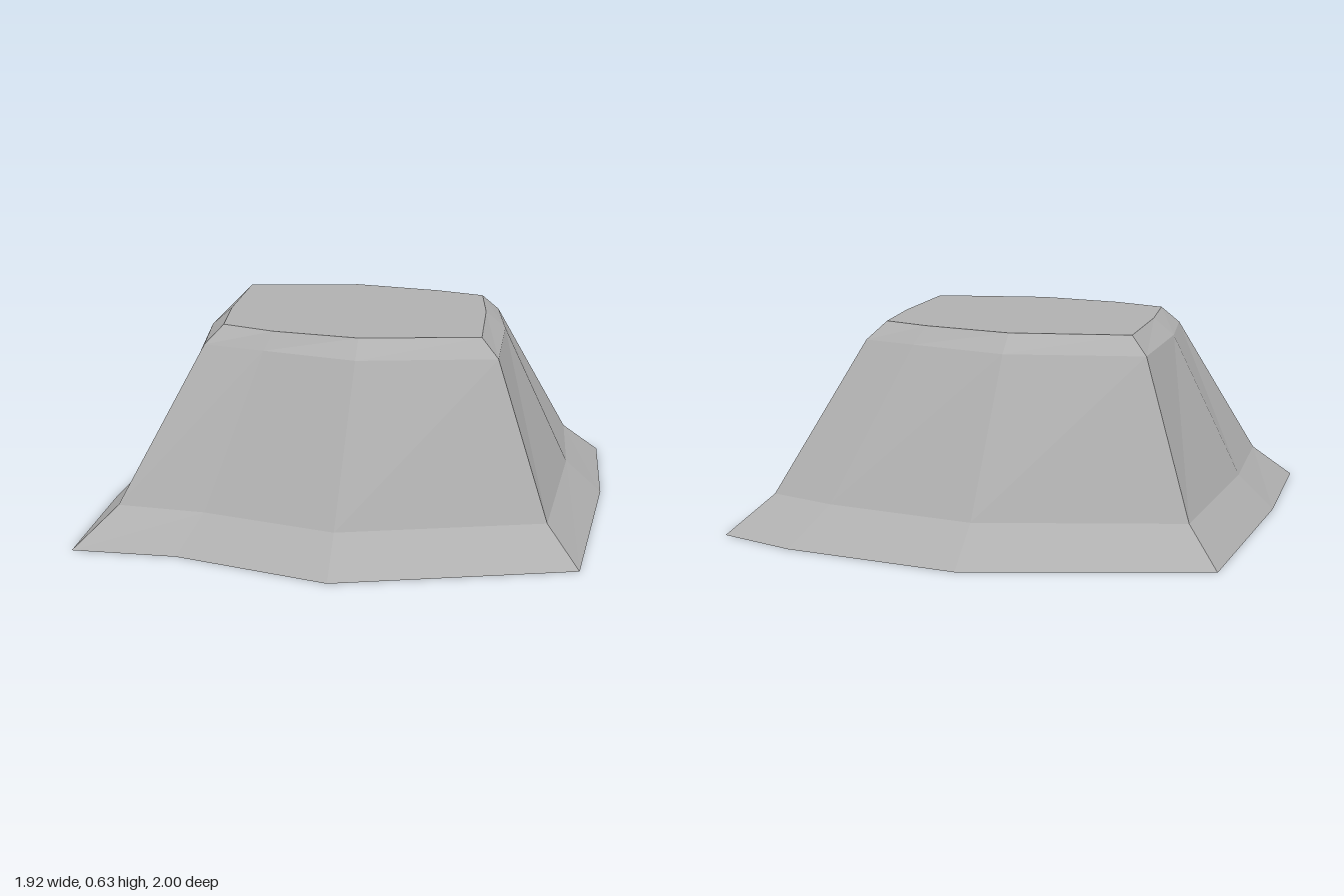
import * as THREE from 'three';

// Horizontal outlines [x, z], listed from the left tip round past the front.
const rings = [
  { y: 0, pts: [[0.96, 0], [0.53, 0.61], [0.06, 0.8], [-0.2, 1], [-0.53, 0.61], [-0.96, 0], [-0.53, -0.62], [-0.05, -0.91], [0.2, -1], [0.53, -0.62]] },
  { y: 0.115, pts: [[0.83, 0], [0.46, 0.52], [0.06, 0.69], [-0.175, 0.84], [-0.46, 0.52], [-0.83, 0], [-0.46, -0.52], [-0.04, -0.76], [0.175, -0.84], [0.46, -0.52]] },
  { y: 0.58, pts: [[0.62, 0], [0.345, 0.33], [0.06, 0.45], [-0.13, 0.53], [-0.345, 0.33], [-0.62, 0], [-0.345, -0.33], [-0.04, -0.46], [0.13, -0.53], [0.345, -0.33]] },
  { y: 0.635, pts: [[0.55, 0], [0.305, 0.28], [0.06, 0.41], [-0.12, 0.46], [-0.305, 0.28], [-0.55, 0], [-0.305, -0.28], [-0.04, -0.41], [0.12, -0.46], [0.305, -0.28]] },
];

function geometryFrom(positions) {
  const g = new THREE.BufferGeometry();
  g.setAttribute('position', new THREE.Float32BufferAttribute(positions, 3));
  g.computeVertexNormals(); // unshared corners give flat facets
  return g;
}

const corner = (ring, i) => {
  const [x, z] = ring.pts[i % ring.pts.length];
  return [x, ring.y, z];
};

// Sloping band between two outlines
function band(low, high) {
  const out = [];
  for (let i = 0; i < low.pts.length; i++) {
    const a = corner(low, i), b = corner(low, i + 1);
    const c = corner(high, i + 1), d = corner(high, i);
    out.push(...a, ...d, ...b, ...b, ...d, ...c);
  }
  return geometryFrom(out);
}

// Flat lid filling one outline
function cap(ring, up) {
  const out = [];
  for (let i = 0; i < ring.pts.length; i++) {
    const a = corner(ring, i), b = corner(ring, i + 1);
    out.push(0, ring.y, 0, ...(up ? b : a), ...(up ? a : b));
  }
  return geometryFrom(out);
}

export function createModel() {
  const group = new THREE.Group();
  const stone = new THREE.MeshStandardMaterial({ color: 0xb0b0b0 });
  stone.name = 'stone grey';

  const add = (name, geometry) => {
    const mesh = new THREE.Mesh(geometry, stone);
    mesh.name = name;
    group.add(mesh);
  };

  // Flared foot, steep walls and bevelled rim
  ['foot', 'walls', 'rim'].forEach((name, i) => add(name, band(rings[i], rings[i + 1])));
  // Closing faces
  add('topFace', cap(rings[3], true));
  add('underside', cap(rings[0], false));
  return group;
}
